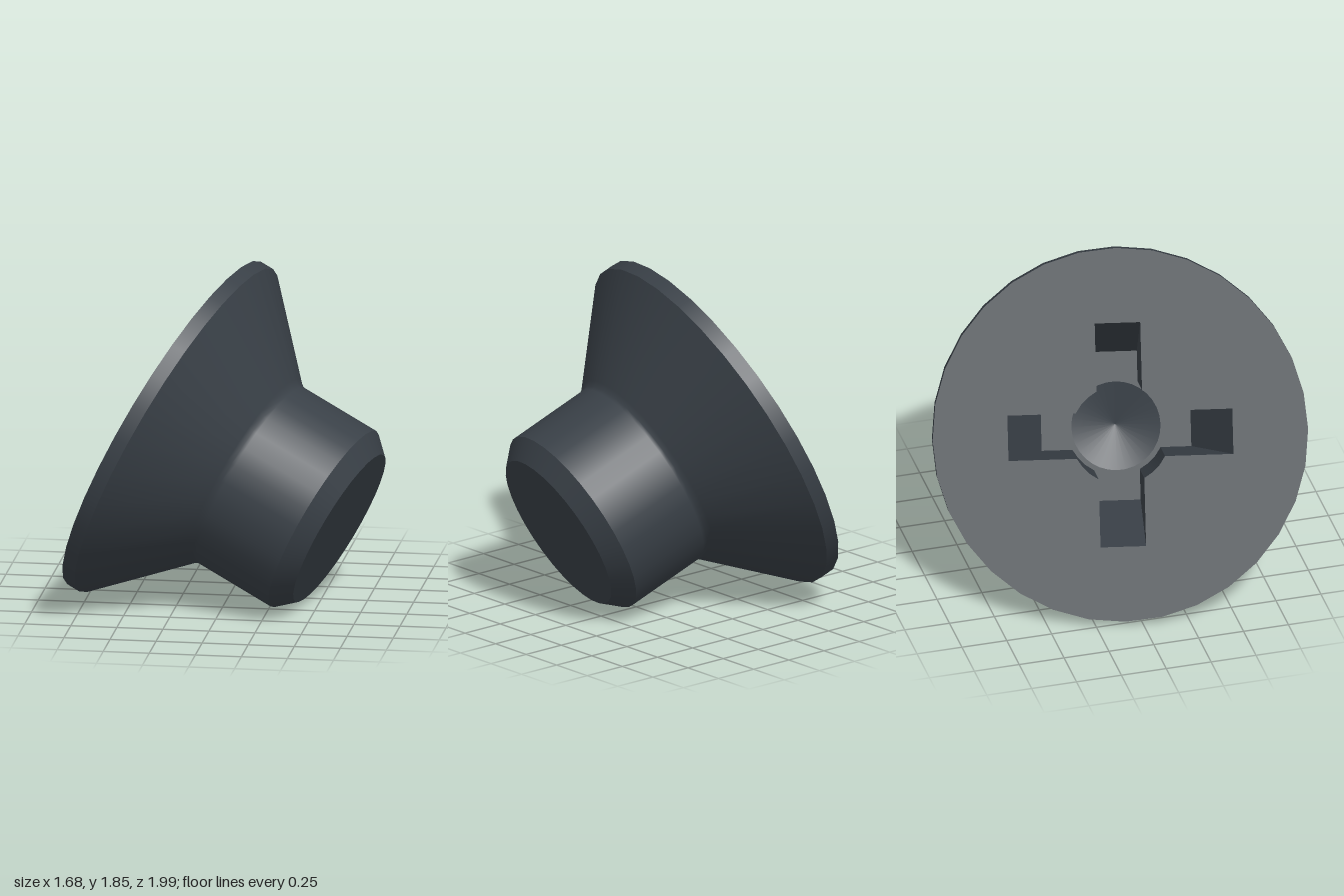
import * as THREE from 'three';
import { toCreasedNormals } from 'three/addons/utils/BufferGeometryUtils.js';

const SIDES = 32;
const HEAD_R = 1.01, SHANK_R = 0.55, TIP_R = 0.46;
const ARM = 0.605, HALF_W = 0.1225, HOLE_R = 0.267, DEPTH = 0.45, PIT_R = 0.24;

const steel = new THREE.MeshStandardMaterial({ color: 0x394047 });
steel.name = 'dark steel';

function add(parent, name, geometry) {
  const mesh = new THREE.Mesh(geometry, steel);
  mesh.name = name;
  parent.add(mesh);
}

// Surface of revolution about y; listed bottom to top it faces outwards
const lathe = (...pts) =>
  new THREE.LatheGeometry(pts.map(([r, y]) => new THREE.Vector2(r, y)), SIDES);

const ringPoints = (r) => Array.from({ length: SIDES }, (_, i) => {
  const t = (i / SIDES) * Math.PI * 2;
  return new THREE.Vector2(Math.cos(t) * r, Math.sin(t) * r);
});

// Flat plate facing up, with one hole
function plate(outline, hole, y) {
  const shape = new THREE.Shape(outline);
  shape.holes.push(new THREE.Path(hole));
  return new THREE.ShapeGeometry(shape).rotateX(-Math.PI / 2).translate(0, y, 0);
}

// Cross outline with a round centre; arm is the reach of the four wings
function crossOutline(arm) {
  const pts = [];
  const start = Math.asin(HALF_W / HOLE_R);
  const span = Math.PI / 2 - 2 * start;
  for (let q = 0; q < 4; q++) {
    const quarter = [new THREE.Vector2(arm, -HALF_W), new THREE.Vector2(arm, HALF_W)];
    for (let i = 0; i <= 3; i++) {
      const t = start + (span * i) / 3;
      quarter.push(new THREE.Vector2(Math.cos(t) * HOLE_R, Math.sin(t) * HOLE_R));
    }
    quarter.forEach((p) => pts.push(p.rotateAround(new THREE.Vector2(), (q * Math.PI) / 2)));
  }
  return pts;
}

// Inward-facing walls between the mouth and floor outlines
function recessWalls(top, bottom) {
  const pos = [];
  const put = (p, y) => pos.push(p.x, y, -p.y);
  top.forEach((p, i) => {
    const j = (i + 1) % top.length;
    put(p, 0); put(top[j], 0); put(bottom[i], -DEPTH);
    put(top[j], 0); put(bottom[j], -DEPTH); put(bottom[i], -DEPTH);
  });
  const g = new THREE.BufferGeometry();
  g.setAttribute('position', new THREE.Float32BufferAttribute(pos, 3));
  return toCreasedNormals(g, 0.4);
}

export function createModel() {
  const model = new THREE.Group();
  model.name = 'countersunk screw';
  const screw = new THREE.Group();
  screw.name = 'tilted screw';
  model.add(screw);

  // Head, shank and tip, with the head face at y = 0
  const mouth = crossOutline(ARM);
  const floor = crossOutline(ARM - DEPTH * 0.45);
  add(screw, 'head face', plate(ringPoints(HEAD_R), mouth, 0));
  add(screw, 'head rim', lathe([HEAD_R, -0.08], [HEAD_R, 0]));
  add(screw, 'countersink and shank', lathe(
    [SHANK_R, -1.02], [SHANK_R, -0.56], [0.556, -0.54], [0.575, -0.515], [HEAD_R, -0.08]));
  add(screw, 'tip bevel', lathe([TIP_R, -1.12], [SHANK_R, -1.02]));
  add(screw, 'tip face', lathe([0, -1.12], [TIP_R, -1.12]));

  // Cross recess with sloping wing ends and a conical pit
  add(screw, 'recess walls', recessWalls(mouth, floor));
  add(screw, 'recess floor', plate(floor, ringPoints(PIT_R), -DEPTH));
  add(screw, 'recess pit', lathe([PIT_R, -DEPTH], [0, -DEPTH - 0.09]));

  // Lay the screw over: its y axis points out of the head
  const out = new THREE.Vector3(-0.878, 0.439, -0.188).normalize();
  const side = new THREE.Vector3(0, 1, 0).cross(out).normalize().negate();
  const across = out.clone();
  side.set(-out.z, 0, out.x).normalize();
  across.crossVectors(side, out);
  screw.quaternion.setFromRotationMatrix(new THREE.Matrix4().makeBasis(side, out, across));
  screw.position.set(-0.357, 0.945, -0.008);
  return model;
}
